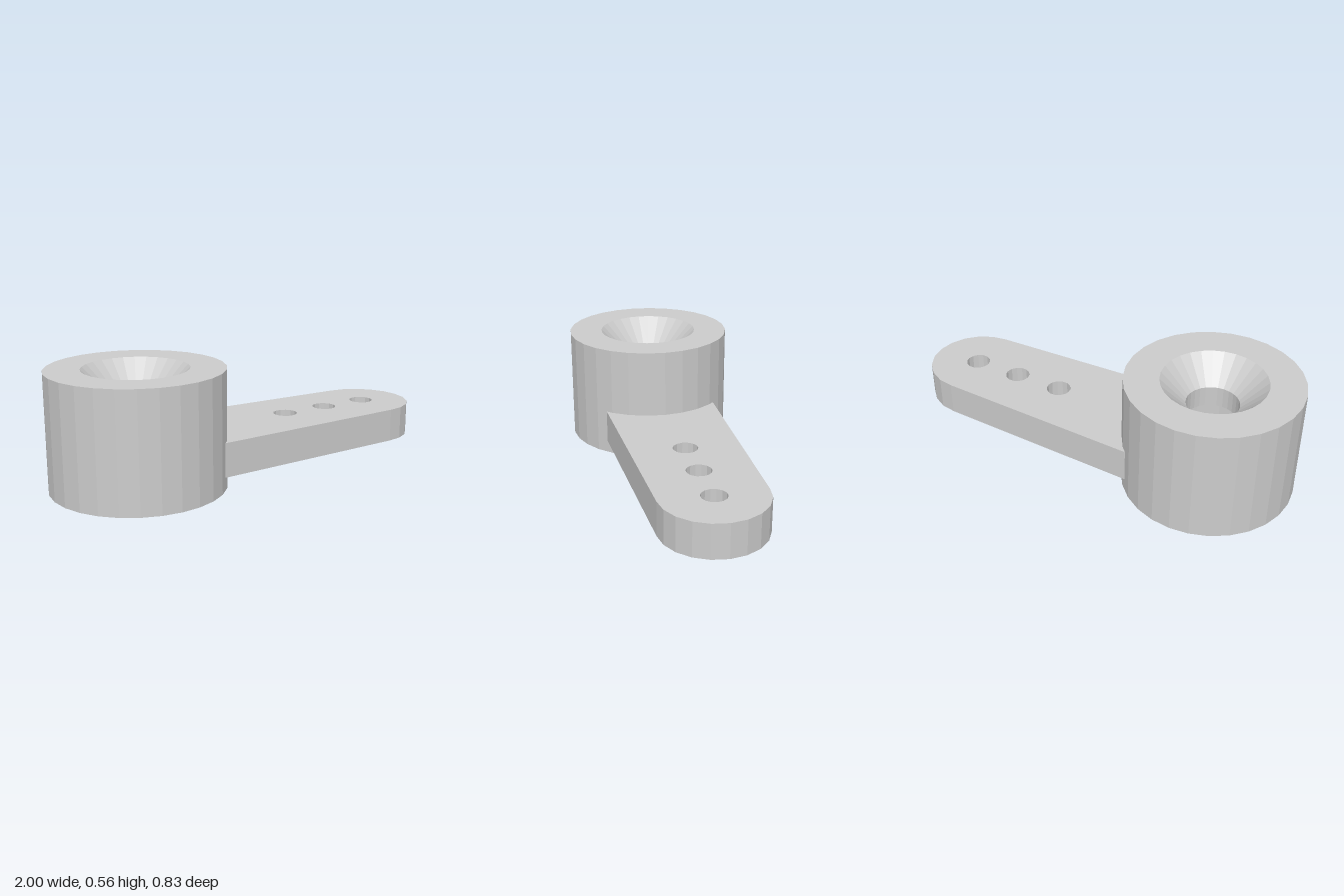
import * as THREE from 'three';

const HUB_X = -0.583;
const material = new THREE.MeshStandardMaterial({ color: 0xcccccc, flatShading: true });

// Points along an arc, from angle a to angle b, in equal steps
function arc(cx, r, a, b, steps) {
  return Array.from({ length: steps + 1 }, (_, i) => {
    const t = a + ((b - a) * i) / steps;
    return new THREE.Vector2(cx + r * Math.cos(t), r * Math.sin(t));
  });
}

// Round boss with a countersunk screw hole above and a wide socket below
function makeHub() {
  const profile = [
    [0.25, 0], [0.417, 0], [0.417, 0.563], [0.25, 0.563],
    [0.125, 0.438], [0.125, 0.335], [0.25, 0.335], [0.25, 0],
  ].map(([r, y]) => new THREE.Vector2(r, y));
  const hub = new THREE.Mesh(new THREE.LatheGeometry(profile, 28), material);
  hub.name = 'hub';
  hub.position.x = HUB_X;
  return hub;
}

// Tapered flat lever with a rounded tip and three link holes
function makeArm() {
  const outline = [
    ...arc(0.75, 0.25, -Math.PI / 2, Math.PI / 2, 10),
    new THREE.Vector2(-0.279, 0.285),
    // The root is buried in the hub wall, clear of the bore
    ...arc(HUB_X, 0.35, 0.8, -0.8, 8),
    new THREE.Vector2(-0.279, -0.285),
  ];
  const shape = new THREE.Shape(outline);
  for (const x of [0.255, 0.505, 0.755]) {
    shape.holes.push(new THREE.Path(arc(x, 0.061, 0, Math.PI * 2, 14).slice(0, -1)));
  }
  const geometry = new THREE.ExtrudeGeometry(shape, { depth: 0.166, bevelEnabled: false });
  geometry.rotateX(-Math.PI / 2);
  const arm = new THREE.Mesh(geometry, material);
  arm.name = 'arm';
  arm.position.y = 0.062;
  return arm;
}

export function createModel() {
  const model = new THREE.Group();
  model.name = 'leverArm';
  model.add(makeHub(), makeArm());
  return model;
}
